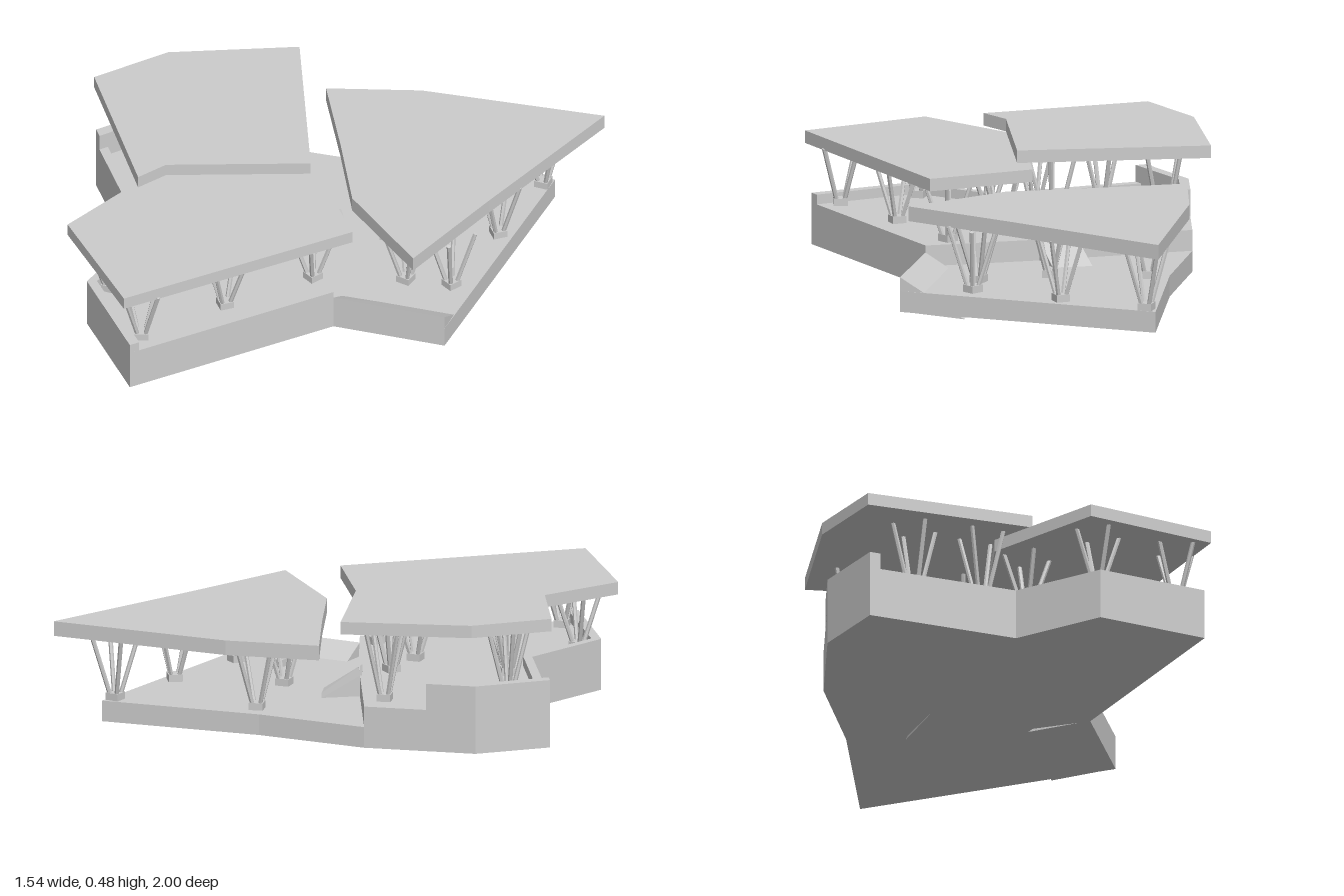
import * as THREE from 'three';
import { ConvexGeometry } from 'three/addons/geometries/ConvexGeometry.js';

const material = new THREE.MeshStandardMaterial({ color: 0xcccccc, flatShading: true });

// Flat slab with an [x, z] outline between two heights
function slab(name, outline, y0, y1) {
  const shape = new THREE.Shape(outline.map(([x, z]) => new THREE.Vector2(x, -z)));
  const geometry = new THREE.ExtrudeGeometry(shape, { depth: y1 - y0, bevelEnabled: false });
  geometry.rotateX(-Math.PI / 2).translate(0, y0, 0);
  const mesh = new THREE.Mesh(geometry, material);
  mesh.name = name;
  return mesh;
}

// Wedge rising from a low edge to a high edge
function ramp(name, low, high, y0, y1) {
  const points = [];
  for (const [x, z] of low) points.push(new THREE.Vector3(x, y0, z));
  for (const [x, z] of high) {
    points.push(new THREE.Vector3(x, 0.012, z), new THREE.Vector3(x, y1, z));
  }
  const mesh = new THREE.Mesh(new ConvexGeometry(points), material);
  mesh.name = name;
  return mesh;
}

// Square rod between two points
function strut(from, to) {
  const dir = to.clone().sub(from);
  const mesh = new THREE.Mesh(new THREE.CylinderGeometry(0.008, 0.008, dir.length(), 6), material);
  mesh.position.copy(from).addScaledVector(dir, 0.5);
  mesh.quaternion.setFromUnitVectors(new THREE.Vector3(0, 1, 0), dir.normalize());
  mesh.name = 'strut';
  return mesh;
}

// Footing with four struts fanning out to the roof
function fanColumn(x, z, floor, roof, yaw) {
  const column = new THREE.Group();
  column.name = 'fanColumn';
  const footing = new THREE.Mesh(new THREE.BoxGeometry(0.05, 0.026, 0.05), material);
  footing.position.y = 0.013;
  footing.name = 'footing';
  column.add(footing);
  for (const sx of [-1, 1]) {
    for (const sz of [-1, 1]) {
      column.add(strut(
        new THREE.Vector3(sx * 0.013, 0.015, sz * 0.013),
        new THREE.Vector3(sx * 0.06, roof - floor + 0.006, sz * 0.06)
      ));
    }
  }
  column.position.set(x, floor, z);
  column.rotation.y = yaw;
  return column;
}

export function createModel() {
  const model = new THREE.Group();
  model.name = 'pavilion';

  // Terraces
  const upperFloor = 0.16, lowerFloor = 0.085;
  model.add(slab('upperTerrace', [
    [-0.765, 0.195], [-0.285, 0.46], [-0.225, 0.8], [0.145, 0.965],
    [0.41, 0.21], [0.08, -0.03], [-0.39, -0.34], [-0.685, -0.07]
  ], 0.01, upperFloor));
  model.add(slab('lowerTerrace', [
    [0.41, 0.21], [0.77, 0.02], [0.44, -0.88], [-0.034, -0.54], [-0.39, -0.34], [0.08, -0.03]
  ], 0.01, lowerFloor));

  // Parapets along the outer edges
  model.add(slab('lowParapet', [
    [-0.765, 0.195], [-0.285, 0.46], [-0.225, 0.8], [0.145, 0.965],
    [0.157, 0.93], [-0.2, 0.775], [-0.26, 0.438], [-0.755, 0.163]
  ], 0.15, 0.195));
  model.add(slab('highParapet', [
    [-0.765, 0.195], [-0.73, 0.214], [-0.655, -0.05], [-0.53, -0.165],
    [-0.555, -0.19], [-0.685, -0.07]
  ], 0.15, 0.255));

  // Ramps, whose lower edges just pass through the base
  model.add(ramp('entranceRamp', [[0.32, 0], [0.68, -0.2]], [[0.41, 0.21], [0.77, 0.02]], 0, 0.135));
  model.add(ramp('linkRamp', [[0.09, -0.37], [0.2, -0.27]], [[-0.04, -0.1], [0.07, -0.02]], 0, 0.165));

  // Roofs with the columns that carry them
  const wings = [
    {
      name: 'leftRoof', floor: upperFloor, y0: 0.435, y1: 0.48,
      outline: [[-0.775, 0.195], [-0.255, 0.51], [-0.235, 0.39], [0.125, 0.03], [-0.38, -0.435], [-0.69, -0.09]],
      columns: [[-0.52, 0.19], [-0.36, -0.23], [-0.32, 0.33], [-0.05, 0.02]]
    },
    {
      name: 'frontRoof', floor: upperFloor, y0: 0.37, y1: 0.415,
      outline: [[-0.3, 0.82], [0.145, 0.995], [0.45, 0.155], [0.1, -0.02], [-0.295, 0.37]],
      columns: [[-0.17, 0.74], [0.105, 0.865], [0.19, 0.53], [0.3, 0.2], [-0.18, 0.42], [0.03, 0.18]]
    },
    {
      name: 'backRoof', floor: lowerFloor, y0: 0.312, y1: 0.365,
      outline: [[0.565, -1], [0, -0.66], [-0.25, -0.435], [0.02, -0.23], [0.265, -0.035], [0.665, 0.07], [0.62, -0.36]],
      columns: [[0.43, -0.83], [0.035, -0.5], [0.52, -0.51], [0.61, -0.18], [0.475, -0.09], [0.25, -0.23]]
    }
  ];
  wings.forEach(({ name, floor, y0, y1, outline, columns }) => {
    model.add(slab(name, outline, y0, y1));
    columns.forEach(([x, z], i) => model.add(fanColumn(x, z, floor, y0, 0.4 + i * 0.35)));
  });
  return model;
}
